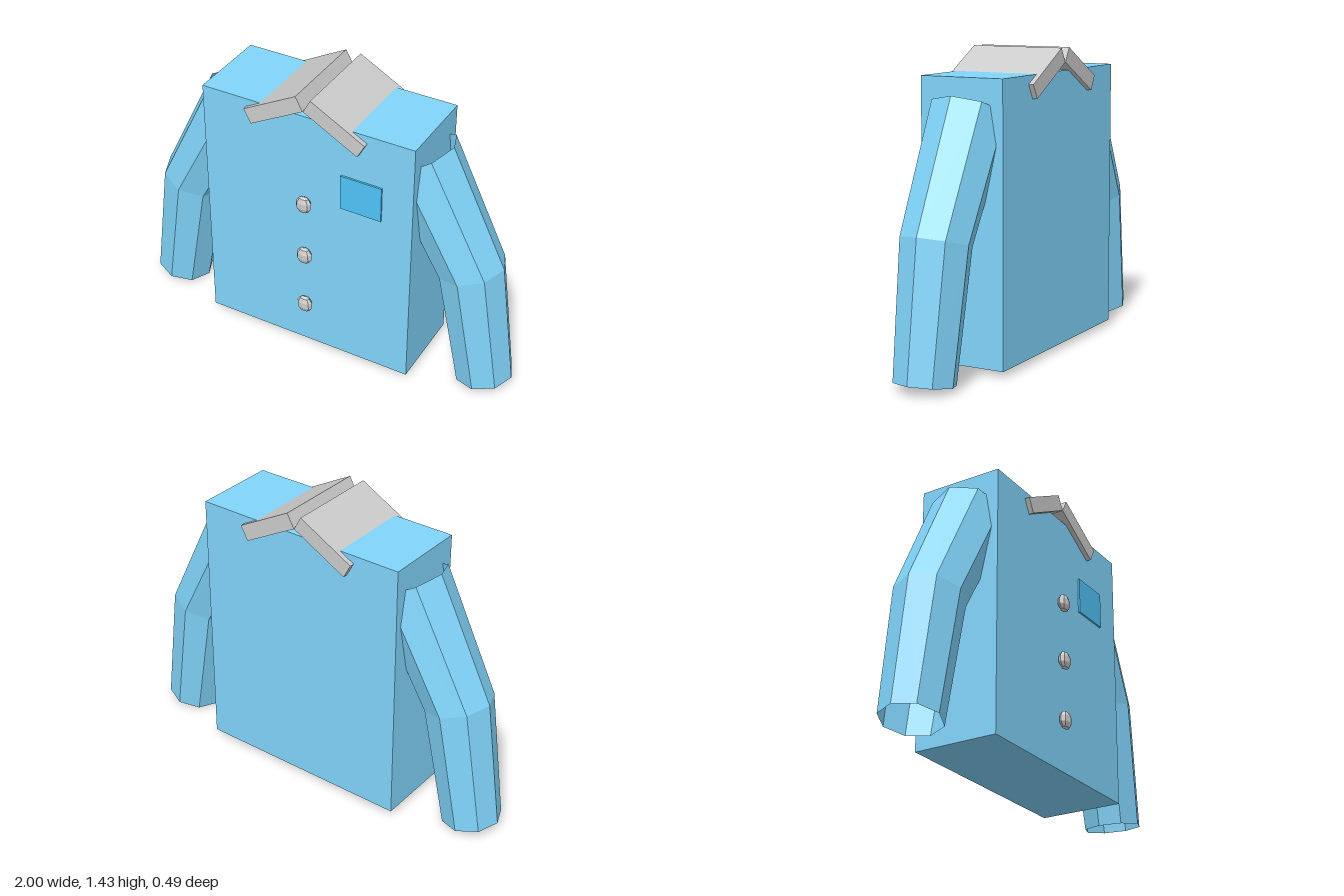
import * as THREE from 'three';

const material = (color) =>
  new THREE.MeshStandardMaterial({ color, flatShading: true, side: THREE.DoubleSide });

// Open eight-sided sleeve: shoulder, elbow and cuff rings, each tilted in the xy plane
function sleeveGeometry() {
  const rings = [
    { x: 0.468, y: 1.176, r: 0.18, tilt: 0.454 },
    { x: 0.757, y: 0.635, r: 0.163, tilt: 0.281 },
    { x: 0.86, y: 0.028, r: 0.142, tilt: 0.169 },
  ];
  const geometry = new THREE.CylinderGeometry(1, 1, 2, 8, 2, true);
  const p = geometry.attributes.position;
  for (let i = 0; i < p.count; i++) {
    const ring = rings[Math.round(1 - p.getY(i))];
    const across = p.getX(i) * ring.r;
    p.setXYZ(
      i,
      ring.x + across * Math.cos(ring.tilt),
      ring.y + across * Math.sin(ring.tilt),
      p.getZ(i) * ring.r,
    );
  }
  geometry.computeVertexNormals();
  return geometry;
}

export function createModel() {
  const group = new THREE.Group();
  const cloth = material(0x81d4fa);
  const pocketCloth = material(0x4fc3f7);
  const grey = material(0xcccccc);
  const midZ = -0.0125;

  const add = (name, geometry, mat, x, y, z) => {
    const mesh = new THREE.Mesh(geometry, mat);
    mesh.name = name;
    mesh.position.set(x, y, z);
    group.add(mesh);
    return mesh;
  };

  // Torso
  add('body', new THREE.BoxGeometry(1.085, 1.3, 0.417), cloth, 0, 0.68, midZ);

  // Sleeves and collar flaps, mirrored
  const sleeve = sleeveGeometry();
  const flap = new THREE.BoxGeometry(0.31, 0.077, 0.465);
  for (const [side, s] of [['left', 1], ['right', -1]]) {
    add(side + 'Sleeve', sleeve, cloth, 0, 0, midZ).scale.x = s;
    add(side + 'Collar', flap, grey, s * 0.155, 1.33, midZ).rotation.z = -s * 0.5;
  }

  // Flattened buttons down the front
  const button = new THREE.SphereGeometry(0.045, 8, 5);
  button.scale(0.93, 1, 0.53);
  [0.27, 0.568, 0.865].forEach((y, i) => add('button' + (i + 1), button, grey, 0, y, 0.221));

  // Chest pocket
  add('pocket', new THREE.BoxGeometry(0.208, 0.18, 0.02), pocketCloth, 0.285, 0.99, 0.195);

  return group;
}
